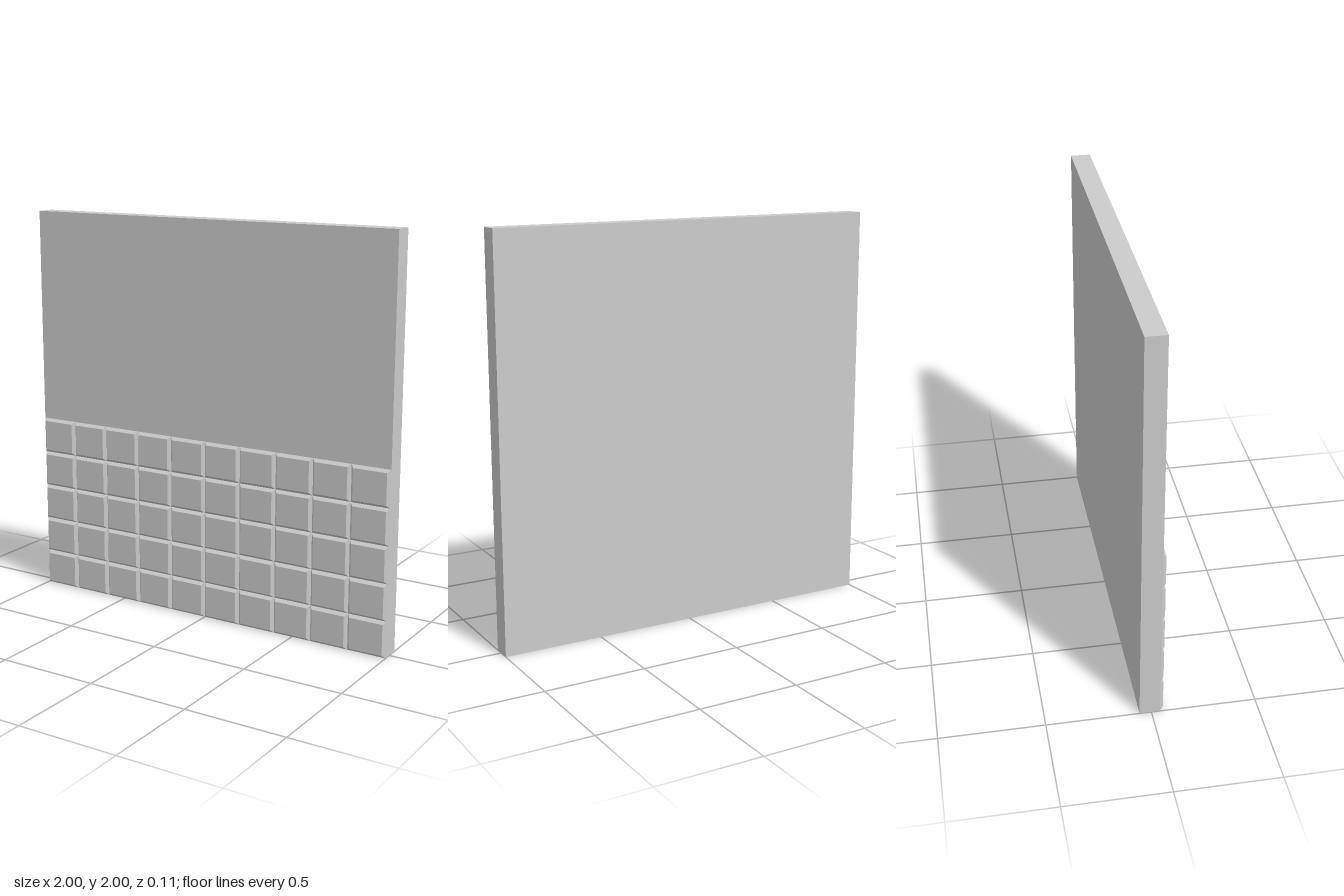
import * as THREE from 'three';

const BACK = -0.057, WALL_FRONT = 0.041, TILE_FRONT = 0.057;
const COLS = 10, ROWS = 5, TILE_W = 0.2, TILE_H = 0.183, BEVEL = 0.014;

// Box whose front face is drawn in on all sides to form a chamfered tile
function tileGeometry() {
  const depth = TILE_FRONT - WALL_FRONT;
  const geometry = new THREE.BoxGeometry(TILE_W, TILE_H, depth);
  const p = geometry.attributes.position;
  for (let i = 0; i < p.count; i++) {
    if (p.getZ(i) > 0) {
      p.setX(i, p.getX(i) - Math.sign(p.getX(i)) * BEVEL);
      p.setY(i, p.getY(i) - Math.sign(p.getY(i)) * BEVEL);
    }
  }
  geometry.computeVertexNormals();
  return geometry;
}

export function createModel() {
  const model = new THREE.Group();
  model.name = 'tiledWallPanel';
  const material = new THREE.MeshStandardMaterial({ color: 0xcccccc, flatShading: true });

  // Plain wall slab
  const depth = WALL_FRONT - BACK;
  const wall = new THREE.Mesh(new THREE.BoxGeometry(2, 2, depth), material);
  wall.name = 'wall';
  wall.position.set(0, 1, BACK + depth / 2);
  model.add(wall);

  // Chamfered tiles over the lower front
  const tiles = new THREE.Group();
  tiles.name = 'tiles';
  const geometry = tileGeometry();
  for (let row = 0; row < ROWS; row++) {
    for (let col = 0; col < COLS; col++) {
      const tile = new THREE.Mesh(geometry, material);
      tile.name = 'tile';
      tile.position.set(
        (col + 0.5) * TILE_W - 1,
        (row + 0.5) * TILE_H,
        (WALL_FRONT + TILE_FRONT) / 2
      );
      tiles.add(tile);
    }
  }
  model.add(tiles);
  return model;
}
